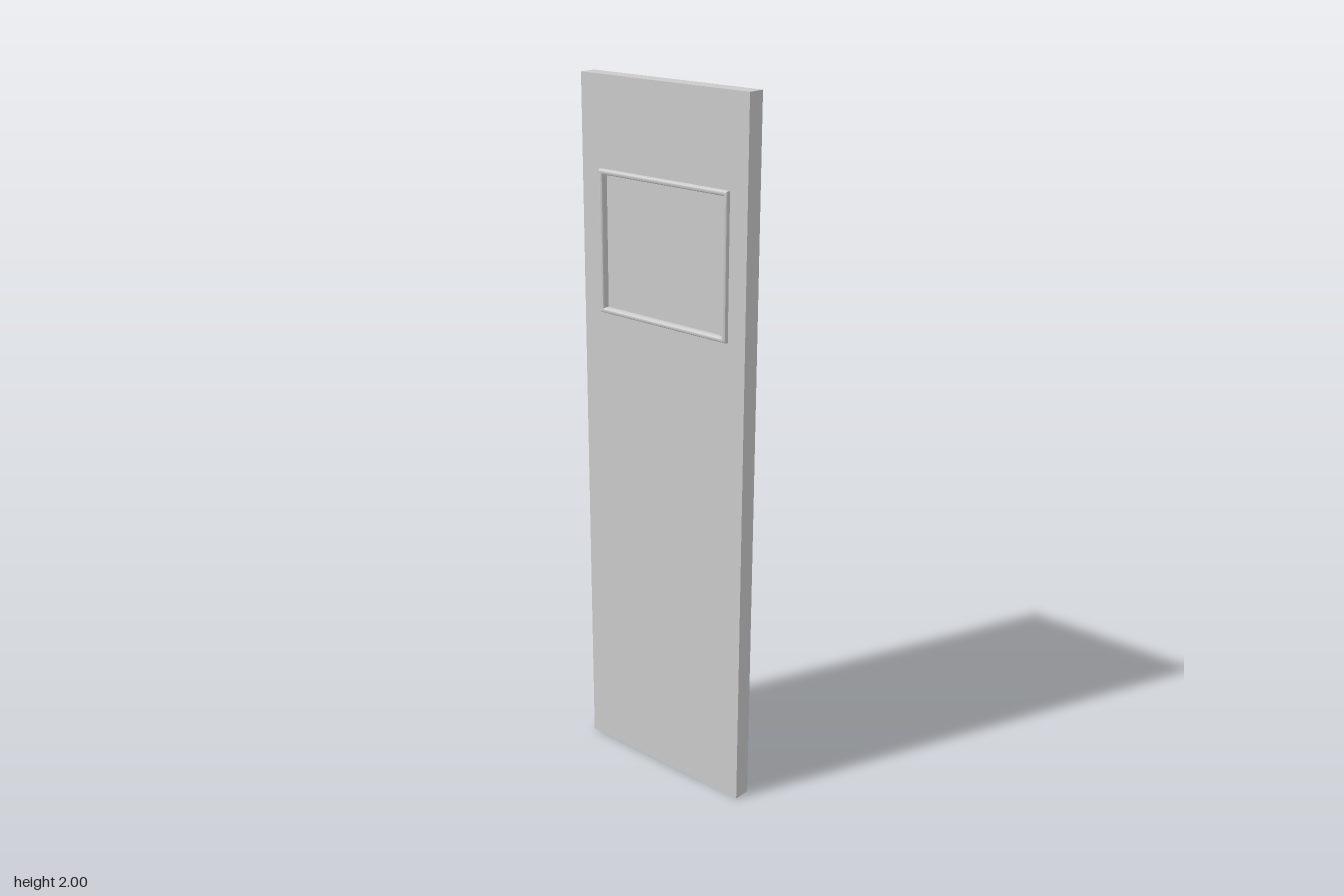
import * as THREE from 'three';
import { toCreasedNormals } from 'three/addons/utils/BufferGeometryUtils.js';

const material = new THREE.MeshStandardMaterial({ color: 0xcccccc });

// Traces a rectangle centred on (cx, cy) onto a Shape or Path
function rect(path, cx, cy, w, h) {
  path.moveTo(cx - w / 2, cy - h / 2);
  path.lineTo(cx + w / 2, cy - h / 2);
  path.lineTo(cx + w / 2, cy + h / 2);
  path.lineTo(cx - w / 2, cy + h / 2);
  path.closePath();
  return path;
}

function mesh(name, geometry) {
  const m = new THREE.Mesh(geometry, material);
  m.name = name;
  return m;
}

export function createModel() {
  const group = new THREE.Group();
  group.name = 'door';
  const windowY = 1.557, panelMin = -0.027, panelMax = 0.023;

  // Door slab with the window opening
  const slab = rect(new THREE.Shape(), 0, 1, 0.568, 2);
  slab.holes.push(rect(new THREE.Path(), 0.005, windowY, 0.41, 0.372));
  const slabGeo = new THREE.ExtrudeGeometry(slab, { depth: panelMax - panelMin, bevelEnabled: false });
  slabGeo.rotateY(Math.PI / 2).translate(panelMin, 0, 0);
  group.add(mesh('doorPanel', slabGeo));

  // Pane set slightly back from both faces
  const pane = mesh('windowPane', new THREE.BoxGeometry(0.034, 0.38, 0.42));
  pane.position.set(-0.002, windowY, -0.005);
  group.add(pane);

  // Rounded trim around the window, one on each face
  function trim(name, side, faceX, cz, width, protrusion) {
    const height = 0.394, bar = 0.014, r = 0.006;
    const shape = rect(new THREE.Shape(), -side * cz, windowY, width, height);
    shape.holes.push(rect(new THREE.Path(), -side * cz, windowY, width - 2 * bar, height - 2 * bar));
    const geo = new THREE.ExtrudeGeometry(shape, {
      depth: protrusion, bevelEnabled: true, bevelThickness: r,
      bevelSize: r, bevelOffset: -r, bevelSegments: 4,
    });
    // The back bevel is sunk into the slab
    geo.translate(0, 0, -r).rotateY(side * Math.PI / 2).translate(faceX, 0, 0);
    group.add(mesh(name, toCreasedNormals(geo, 0.6)));
  }
  trim('leftWindowTrim', 1, panelMax, -0.01, 0.43, 0.014);
  trim('rightWindowTrim', -1, panelMin, 0.005, 0.444, 0.012);

  return group;
}
